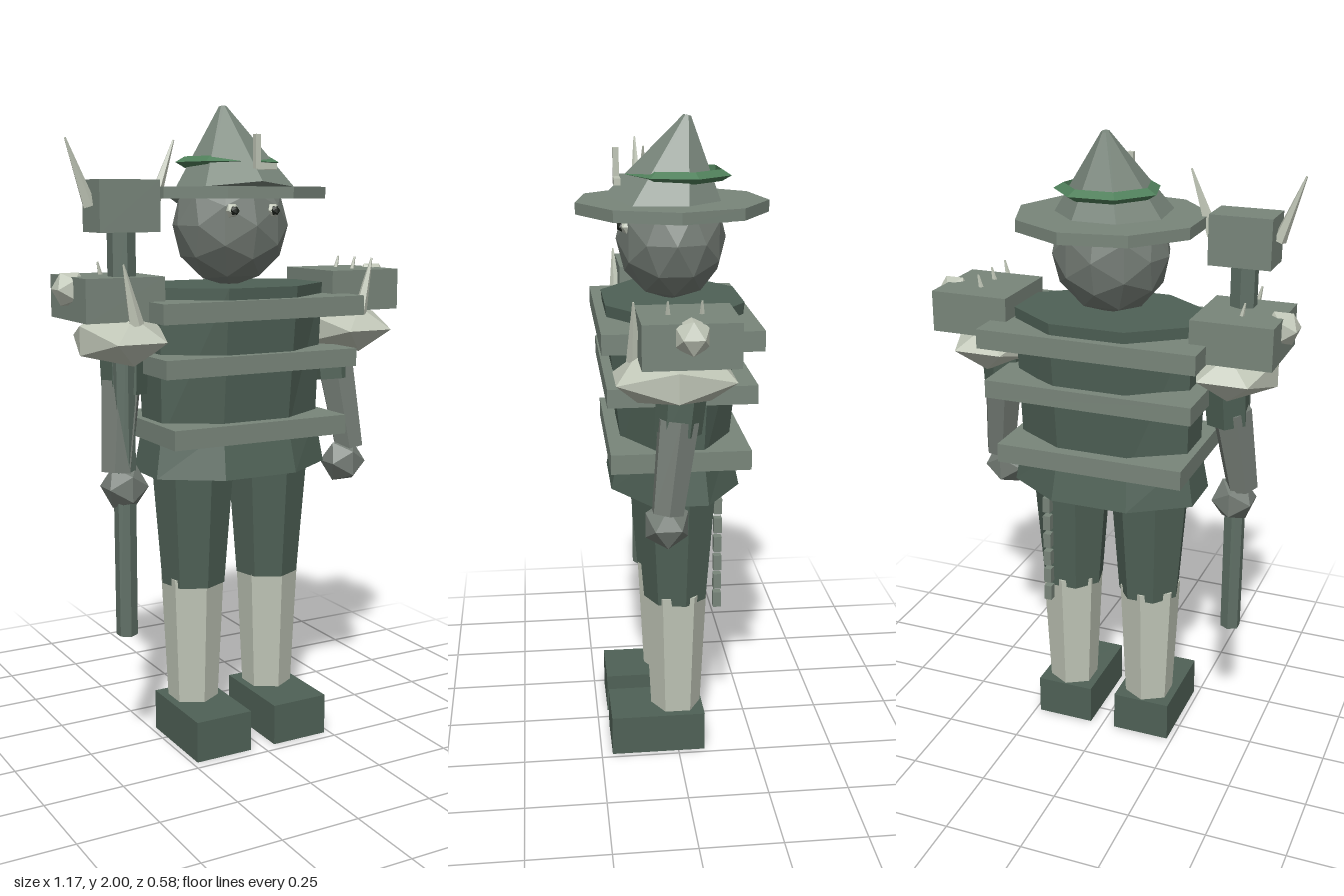
import * as THREE from 'three';

const paint = (name, color) => {
  const m = new THREE.MeshStandardMaterial({ color, flatShading: true });
  m.name = name;
  return m;
};

export function createModel() {
  const model = new THREE.Group();
  const cloth = paint('dark green cloth', 0x4f6156);
  const armor = paint('grey green armor', 0x78857a);
  const skin = paint('grey skin', 0x747c75);
  const bone = paint('bone', 0xbfc5b6);
  const wood = paint('dark wood', 0x5f6f65);
  const ribbonGreen = paint('ribbon green', 0x4f7f5a);
  const black = paint('pupil black', 0x20261f);

  const add = (name, geo, mat, x = 0, y = 0, z = 0) => {
    const m = new THREE.Mesh(geo, mat);
    m.name = name;
    m.position.set(x, y, z);
    model.add(m);
    return m;
  };
  const box = (name, mat, w, h, d, x, y, z) =>
    add(name, new THREE.BoxGeometry(w, h, d), mat, x, y, z);
  // Tapered rod between two points
  const rod = (name, mat, a, b, ra, rb, sides) => {
    const p = new THREE.Vector3(...a), q = new THREE.Vector3(...b);
    const dir = q.clone().sub(p);
    const m = add(name, new THREE.CylinderGeometry(rb, ra, dir.length(), sides), mat);
    m.position.copy(p).add(q).multiplyScalar(0.5);
    m.quaternion.setFromUnitVectors(new THREE.Vector3(0, 1, 0), dir.normalize());
    return m;
  };

  // Torso: upper jacket widening upward, skirt flaring downward
  const ring = (rTop, rBottom, h, depth) => {
    const k = 1 / Math.cos(Math.PI / 8);
    const g = new THREE.CylinderGeometry(rTop * k, rBottom * k, h, 8, 1, false, Math.PI / 8);
    const p = g.attributes.position;
    for (let i = 0; i < p.count; i++) p.setZ(i, p.getZ(i) * (p.getY(i) > 0 ? depth[0] / rTop : depth[1] / rBottom));
    return g;
  };
  add('jacket', ring(0.285, 0.275, 0.46, [0.21, 0.165]), cloth, 0, 1.23, 0);
  add('skirt', ring(0.275, 0.3, 0.15, [0.168, 0.2]), cloth, 0, 0.955, 0);

  // Armor slabs around the chest
  for (const [w, h, d, y] of [[0.69, 0.06, 0.47, 1.395], [0.66, 0.056, 0.44, 1.232], [0.6, 0.06, 0.42, 1.02]])
    box('armorBand', armor, w, h, d, 0, y, 0);

  // Head and eyes
  add('head', new THREE.IcosahedronGeometry(1, 1).scale(0.183, 0.19, 0.168), skin, 0, 1.64, 0);

  // Hat: nine-sided brim and a cone leaning back
  add('hatBrim', new THREE.CylinderGeometry(0.295, 0.295, 0.035, 9, 1, false, Math.PI / 2), armor, 0, 1.738, 0);
  const cone = add('hatCone', new THREE.CylinderGeometry(0.012, 0.195, 0.275, 7), armor, 0, 1.865, -0.02);
  cone.rotation.x = -0.21;
  add('hatRibbon', new THREE.TorusGeometry(0.143, 0.02, 3, 7).rotateX(Math.PI / 2), ribbonGreen, 0, 1.83, -0.025)
    .rotation.y = 0.25;
  box('hatPin', bone, 0.017, 0.1, 0.018, 0, 1.858, 0.165);
  box('hatPinFoot', bone, 0.065, 0.02, 0.02, 0.03, 1.815, 0.165);

  for (const s of [-1, 1]) {
    add('eye', new THREE.IcosahedronGeometry(0.023, 0), bone, s * 0.07, 1.685, 0.14);
    add('pupil', new THREE.IcosahedronGeometry(0.015, 0), black, s * 0.07, 1.685, 0.155);

    // Legs
    box('boot', cloth, 0.19, 0.13, 0.3, s * 0.138, 0.065, 0.065);
    add('shin', new THREE.CylinderGeometry(0.1, 0.08, 0.42, 6), bone, s * 0.138, 0.33, 0);
    add('trouserLeg', new THREE.CylinderGeometry(0.13, 0.101, 0.37, 7), cloth, s * 0.135, 0.7, 0);

    // Shoulder armor with spikes and studs
    box('shoulderBox', armor, 0.25, 0.128, 0.275, s * 0.417, 1.433, 0);
    add('shoulderStud', new THREE.IcosahedronGeometry(0.056, 0), bone, s * 0.535, 1.46, 0);
    add('shoulderPad', new THREE.IcosahedronGeometry(1, 0).rotateY(Math.PI / 2).scale(0.148, 0.084, 0.2), bone,
      s * 0.395, 1.31, 0.033);
    for (const z of [-0.04, 0.055, 0.15])
      rod('shoulderSpike', bone, [s * 0.39, 1.36, z - 0.005], [s * 0.43, 1.535, z], 0.024, 0.003, 5);

    // Arms
    rod('sleeve', cloth, [s * 0.365, 1.36, 0], [s * 0.375, 1.14, 0.02], 0.078, 0.068, 6);
    rod('forearm', skin, [s * 0.385, 1.18, 0.02], [s * 0.42, 0.91, 0.055], 0.064, 0.05, 6);
    add('hand', new THREE.IcosahedronGeometry(0.074, 0), skin, s * 0.395, 0.865, 0.055);
  }

  // Chain hanging behind the left leg
  for (let i = 0; i < 6; i++)
    box('chainLink', armor, 0.025, 0.05, 0.025, 0.17, 0.828 - i * 0.0635, -0.128);

  // Hammer staff with a horned head
  rod('staff', wood, [-0.397, 0.4, 0.063], [-0.397, 1.5, 0.063], 0.033, 0.035, 6);
  rod('staffCollar', wood, [-0.397, 1.45, 0.063], [-0.397, 1.63, 0.063], 0.042, 0.042, 6);
  box('hammerHead', armor, 0.19, 0.15, 0.127, -0.395, 1.7, 0.063);
  for (const s of [-1, 1])
    rod('hammerHorn', bone, [-0.395 + s * 0.1, 1.7, 0.063], [-0.395 + s * 0.17, 1.89, 0.063], 0.021, 0.003, 5);

  return model;
}
